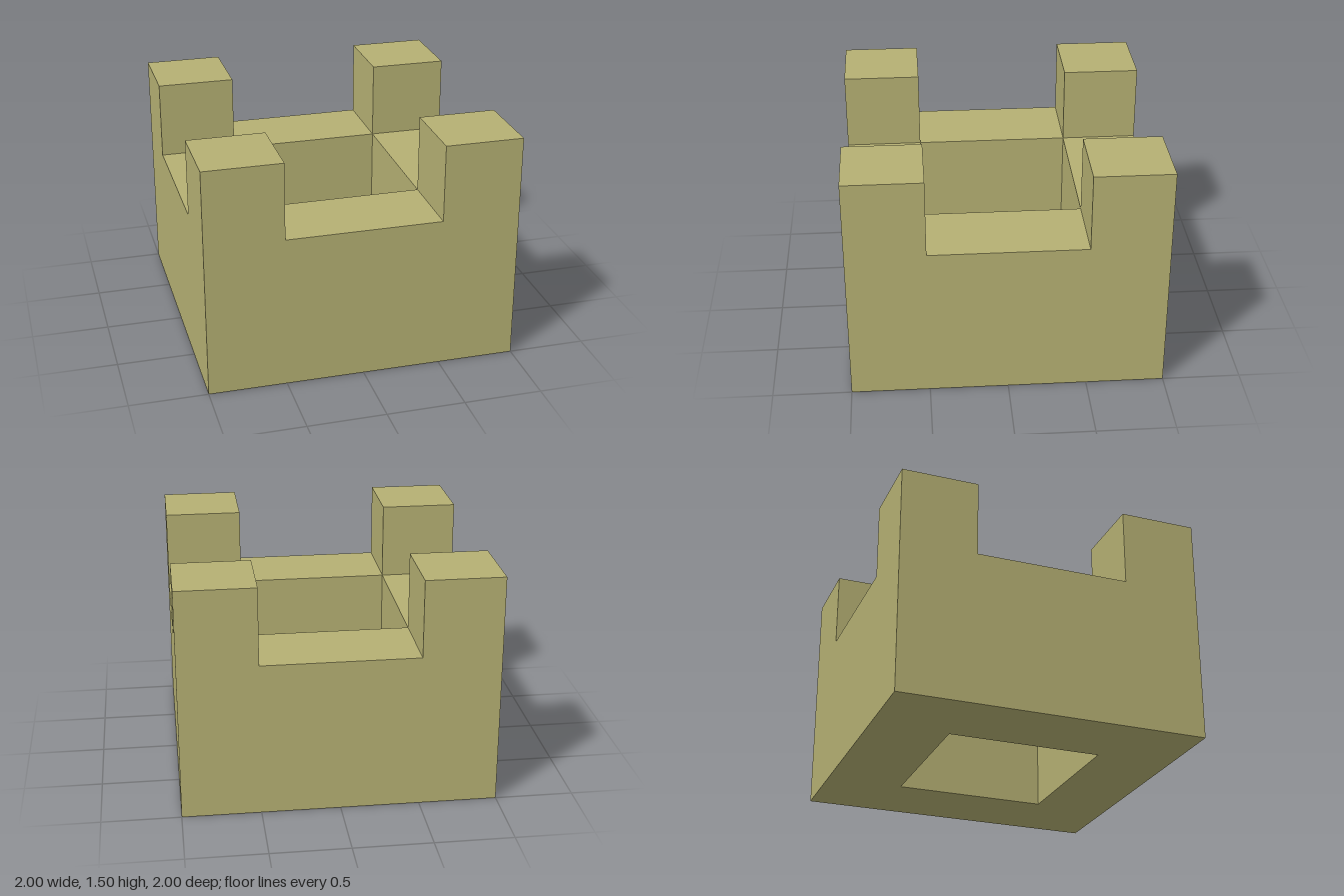
import * as THREE from 'three';

const HALF = 1, INNER = 0.5, WALL_H = 1, MERLON = 0.5;

// Closed square outline centred on the origin
function square(Outline, r) {
  const s = new Outline();
  s.moveTo(-r, -r);
  s.lineTo(r, -r);
  s.lineTo(r, r);
  s.lineTo(-r, r);
  s.closePath();
  return s;
}

export function createModel() {
  const group = new THREE.Group();
  group.name = 'castleTower';

  const stone = new THREE.MeshStandardMaterial({ color: 0xb5b073 });
  stone.name = 'khakiStone';

  // Square wall ring, open from top to bottom
  const outline = square(THREE.Shape, HALF);
  outline.holes.push(square(THREE.Path, INNER));
  const wallGeo = new THREE.ExtrudeGeometry(outline, { depth: WALL_H, bevelEnabled: false });
  wallGeo.rotateX(-Math.PI / 2);
  const wall = new THREE.Mesh(wallGeo, stone);
  wall.name = 'wallRing';
  group.add(wall);

  // Corner merlons
  const merlonGeo = new THREE.BoxGeometry(MERLON, MERLON, MERLON);
  const offset = HALF - MERLON / 2;
  for (const [sz, zName] of [[1, 'front'], [-1, 'back']]) {
    for (const [sx, xName] of [[1, 'Left'], [-1, 'Right']]) {
      const merlon = new THREE.Mesh(merlonGeo, stone);
      merlon.name = `${zName}${xName}Merlon`;
      merlon.position.set(sx * offset, WALL_H + MERLON / 2, sz * offset);
      group.add(merlon);
    }
  }

  return group;
}
